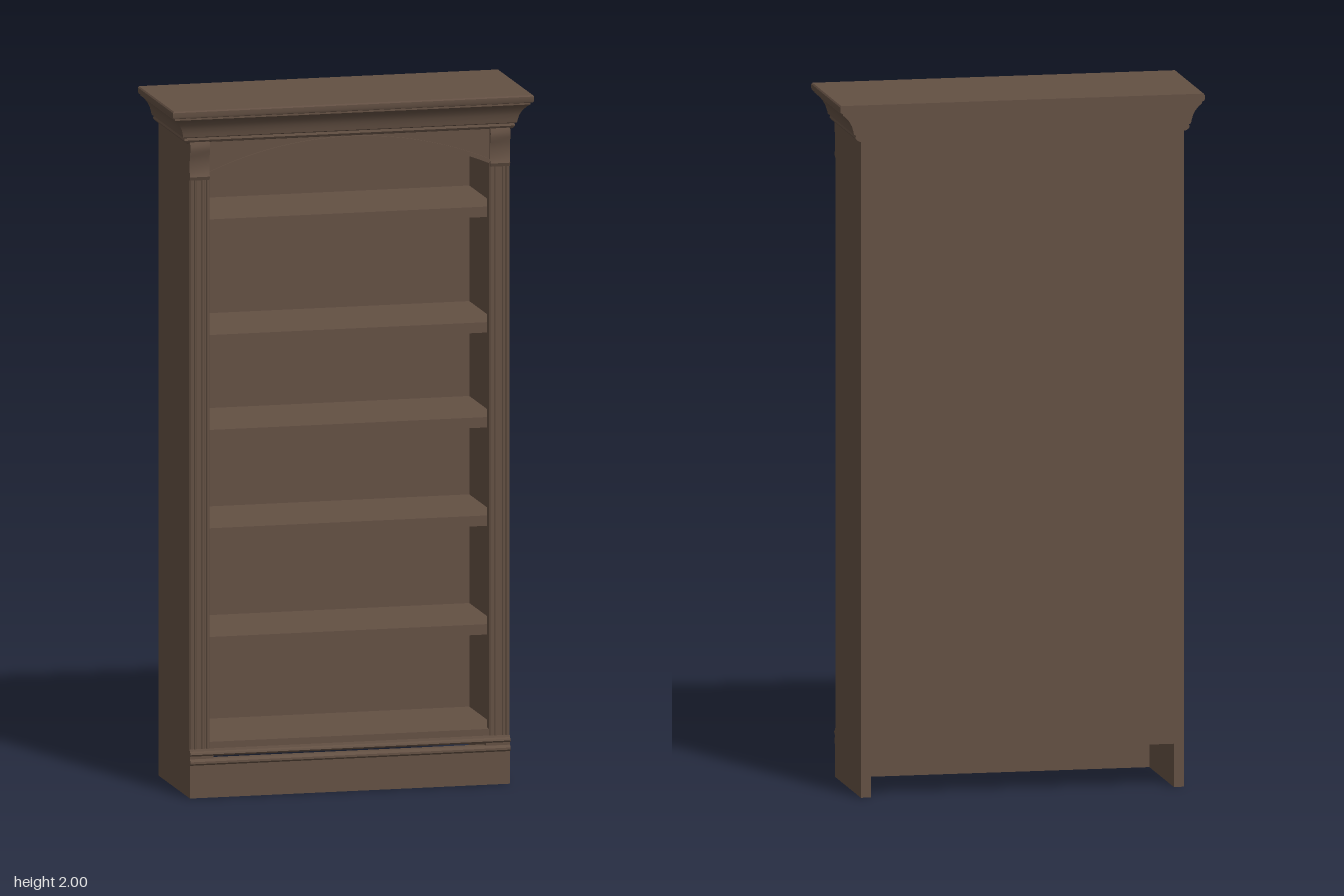
import * as THREE from 'three';
import { toCreasedNormals } from 'three/addons/utils/BufferGeometryUtils.js';

const HALF = 0.47, BACK = -0.205, FACE = 0.155, OPEN = 0.41;

export function createModel() {
  const wood = new THREE.MeshStandardMaterial({ color: 0x635043 });
  wood.name = 'brown wood';
  const group = new THREE.Group();
  group.name = 'bookcase';

  const add = (name, geometry) => {
    const mesh = new THREE.Mesh(geometry, wood);
    mesh.name = name;
    group.add(mesh);
    return mesh;
  };
  // Box given by its minimum and maximum on each axis
  const box = (name, x0, x1, y0, y1, z0, z1) => {
    const mesh = add(name, new THREE.BoxGeometry(x1 - x0, y1 - y0, z1 - z0));
    mesh.position.set((x0 + x1) / 2, (y0 + y1) / 2, (z0 + z1) / 2);
    return mesh;
  };
  // Profile of [z, y] points swept along x
  const sweepX = (name, points, x0, x1) => {
    const shape = new THREE.Shape(points.map(([z, y]) => new THREE.Vector2(-z, y)));
    const geometry = new THREE.ExtrudeGeometry(shape, { depth: x1 - x0, bevelEnabled: false });
    geometry.rotateY(Math.PI / 2).translate(x0, 0, 0);
    return add(name, toCreasedNormals(geometry, 0.6));
  };

  // Carcass
  for (const s of [-1, 1]) {
    const x = s * (HALF - 0.015);
    box(s > 0 ? 'leftSide' : 'rightSide', x - 0.015, x + 0.015, 0, 1.9, BACK, FACE);
  }
  box('backPanel', -0.44, 0.44, 0.125, 1.9, BACK, BACK + 0.012);

  // Shelves, by the height of their tops
  for (const y of [0.46, 0.775, 1.06, 1.335, 1.67]) {
    box('shelf', -0.44, 0.44, y - 0.03, y, BACK + 0.012, 0.135);
  }
  box('bottomShelf', -0.44, 0.44, 0.135, 0.16, BACK + 0.012, 0.14);

  // Face frame with an arched opening
  const spring = 1.8, rise = 0.085;
  const radius = (OPEN * OPEN + rise * rise) / (2 * rise);
  const centreY = spring + rise - radius;
  const angle = Math.asin(OPEN / radius);
  const frame = new THREE.Shape([
    [-HALF, 0.122], [HALF, 0.122], [HALF, 1.9], [-HALF, 1.9],
  ].map((p) => new THREE.Vector2(...p)));
  const hole = new THREE.Path();
  hole.moveTo(-OPEN, 0.16);
  hole.lineTo(OPEN, 0.16);
  hole.lineTo(OPEN, spring);
  hole.absarc(0, centreY, radius, Math.PI / 2 - angle, Math.PI / 2 + angle, false);
  hole.lineTo(-OPEN, 0.16);
  frame.holes.push(hole);
  const frameGeometry = new THREE.ExtrudeGeometry(frame, { depth: 0.02, bevelEnabled: false, curveSegments: 32 });
  frameGeometry.translate(0, 0, FACE - 0.02);
  add('faceFrame', toCreasedNormals(frameGeometry, 0.5));

  // Raised trim following the arch
  const trim = new THREE.Shape();
  trim.absarc(0, centreY, radius + 0.012, Math.PI / 2 - angle, Math.PI / 2 + angle, false);
  trim.absarc(0, centreY, radius, Math.PI / 2 + angle, Math.PI / 2 - angle, true);
  const trimGeometry = new THREE.ExtrudeGeometry(trim, { depth: 0.005, bevelEnabled: false, curveSegments: 32 });
  trimGeometry.translate(0, 0, FACE);
  add('archTrim', toCreasedNormals(trimGeometry, 0.5));

  // Pilaster beads and carved capitals on both stiles
  for (const s of [-1, 1]) {
    for (const [x, r] of [[0.416, 0.005], [0.43, 0.004], [0.452, 0.004], [0.464, 0.005]]) {
      const bead = add('pilasterBead', new THREE.CylinderGeometry(r, r, 1.65, 10));
      bead.position.set(s * x, 0.965, FACE);
    }
    const x = s * 0.441;
    sweepX('capital', [
      [0.15, 1.79], [0.162, 1.79], [0.166, 1.8], [0.161, 1.812], [0.16, 1.84],
      [0.163, 1.86], [0.168, 1.875], [0.169, 1.888], [0.165, 1.9], [0.15, 1.9],
    ], x - 0.029, x + 0.029);
  }

  // Plinth and base mouldings, with a narrow slot between them
  box('plinth', -HALF, HALF, 0, 0.1, 0.14, 0.163);
  sweepX('lowerBaseMoulding', [
    [0.14, 0.095], [0.165, 0.095], [0.17, 0.1], [0.17, 0.106], [0.164, 0.113], [0.14, 0.113],
  ], -HALF, HALF);
  sweepX('upperBaseMoulding', [
    [0.14, 0.122], [0.168, 0.122], [0.172, 0.127], [0.17, 0.132], [0.162, 0.135], [0.16, 0.141], [0.14, 0.141],
  ], -HALF, HALF);
  for (const s of [-1, 1]) {
    box('slotEnd', s * 0.435 - 0.035, s * 0.435 + 0.035, 0.11, 0.124, 0.14, 0.162);
  }

  // Crown: mitred outline stacked by [overhang, height], flush at the back
  const profile = [
    [0.004, 1.895], [0.012, 1.9], [0.016, 1.906], [0.014, 1.913], [0.02, 1.916], [0.022, 1.926],
    [0.026, 1.94], [0.033, 1.953], [0.043, 1.965], [0.052, 1.972], [0.052, 1.977],
    [0.058, 1.979], [0.06, 1.984], [0.06, 1.996], [0.057, 2],
  ];
  const ring = ([d, y]) => {
    const x = HALF + d, z = 0.145 + d;
    return [[-x, y, z], [x, y, z], [x, y, BACK], [-x, y, BACK]];
  };
  const positions = [];
  const quad = (a, b, c, d) => positions.push(...a, ...b, ...c, ...a, ...c, ...d);
  const rings = profile.map(ring);
  for (let i = 0; i < rings.length - 1; i++) {
    for (let k = 0; k < 4; k++) {
      const n = (k + 1) % 4;
      quad(rings[i][k], rings[i][n], rings[i + 1][n], rings[i + 1][k]);
    }
  }
  const top = rings[rings.length - 1], base = rings[0];
  quad(top[0], top[1], top[2], top[3]);
  quad(base[3], base[2], base[1], base[0]);
  const crown = new THREE.BufferGeometry();
  crown.setAttribute('position', new THREE.Float32BufferAttribute(positions, 3));
  add('crownMoulding', toCreasedNormals(crown, 0.4));

  return group;
}
